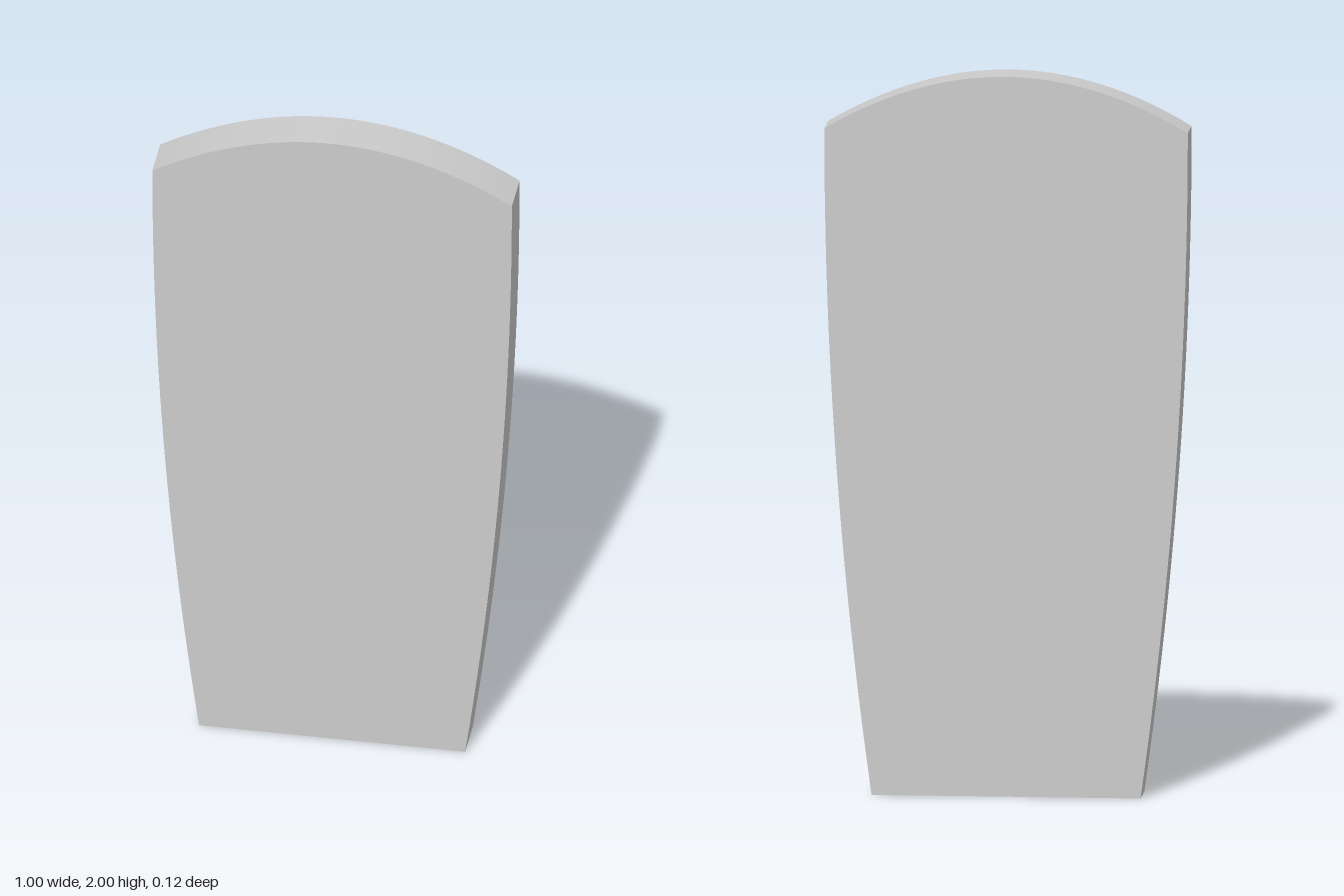
import * as THREE from 'three';
import { toCreasedNormals } from 'three/addons/utils/BufferGeometryUtils.js';

export function createModel() {
  const group = new THREE.Group();
  group.name = 'panel';

  const height = 2, shoulder = 1.85, topHalf = 0.5, baseHalf = 0.37, depth = 0.125;

  // Tapered outline: sides bow up to vertical at the shoulders, domed top
  const outline = new THREE.Shape();
  outline.moveTo(-baseHalf, 0);
  outline.lineTo(baseHalf, 0);
  outline.quadraticCurveTo(topHalf, shoulder / 2, topHalf, shoulder);
  outline.quadraticCurveTo(0, 2 * height - shoulder, -topHalf, shoulder);
  outline.quadraticCurveTo(-topHalf, shoulder / 2, -baseHalf, 0);

  const slab = new THREE.ExtrudeGeometry(outline, { depth, bevelEnabled: false, curveSegments: 32 });
  slab.translate(0, 0, -depth / 2);

  // Smooth along the curves, sharp at the corners and rims
  const mesh = new THREE.Mesh(
    toCreasedNormals(slab, Math.PI / 6),
    new THREE.MeshStandardMaterial({ color: 0xcccccc })
  );
  mesh.name = 'curvedSlab';
  group.add(mesh);
  return group;
}
